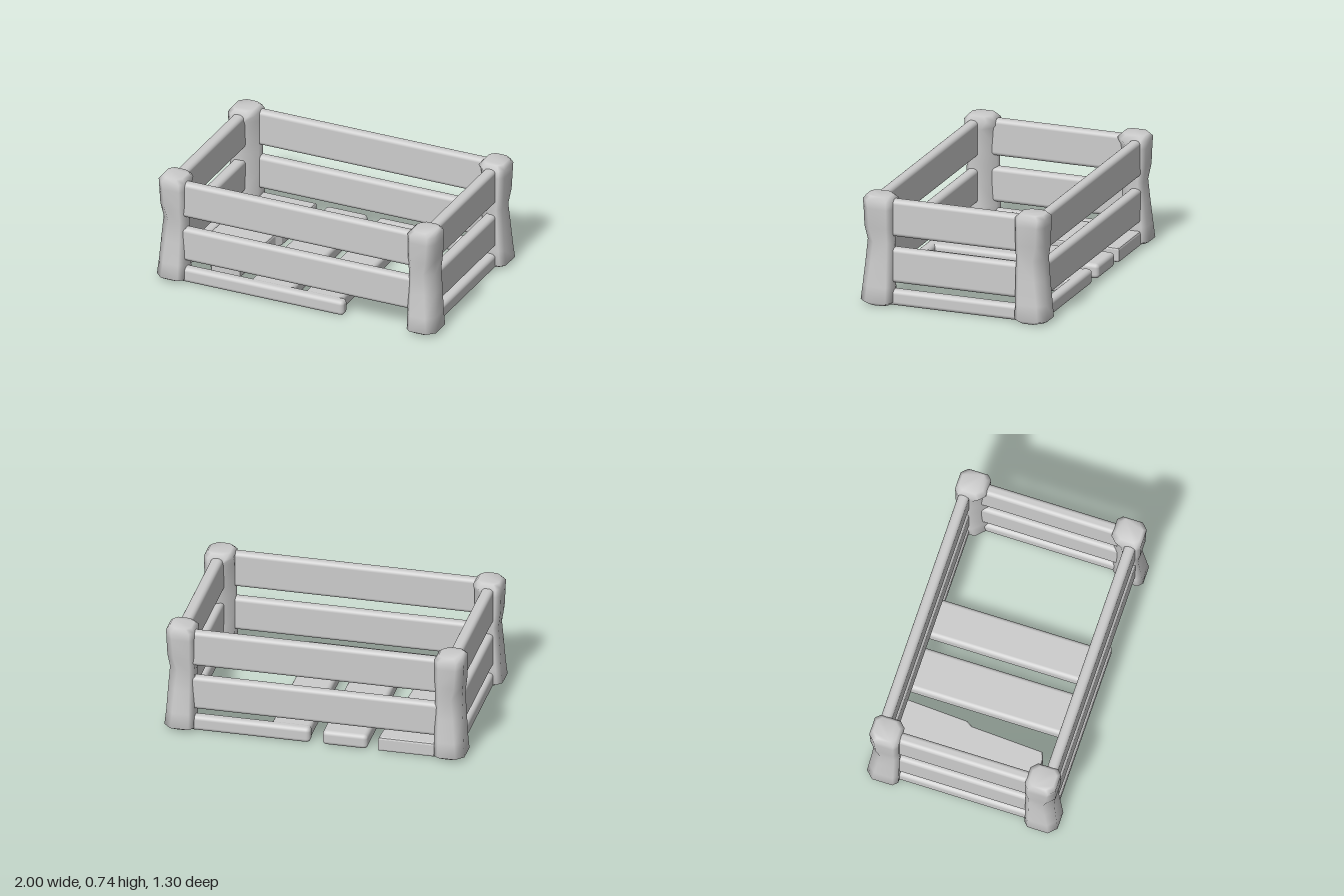
import * as THREE from 'three';
import { RoundedBoxGeometry } from 'three/addons/geometries/RoundedBoxGeometry.js';

const wood = new THREE.MeshStandardMaterial({ color: 0xcccccc });
wood.name = 'pale grey wood';

// Corner post lofted from chamfered squares, mirrored by the signs sx and sz
function postGeometry(sx, sz) {
  // y, inner x, outer x, inner z, outer z, outer chamfer, inner chamfer
  const rings = [
    [0.01, 0.83, 0.97, 0.46, 0.61, 0.05, 0.04],
    [0.035, 0.80, 1.00, 0.43, 0.65, 0.05, 0.06],
    [0.14, 0.80, 0.99, 0.43, 0.64, 0.05, 0.08],
    [0.30, 0.80, 0.982, 0.43, 0.625, 0.055, 0.09],
    [0.44, 0.80, 0.973, 0.43, 0.615, 0.06, 0.09],
    [0.54, 0.80, 0.985, 0.43, 0.63, 0.05, 0.09],
    [0.67, 0.80, 0.99, 0.43, 0.632, 0.045, 0.08],
    [0.725, 0.80, 0.99, 0.43, 0.635, 0.04, 0.04],
    [0.752, 0.825, 0.97, 0.455, 0.615, 0.04, 0.04],
  ];
  const pos = [], idx = [], n = 8;
  for (const [y, a, b, c, d, k, m] of rings) {
    const s = 0.03;
    const pts = [[b, c + s], [b, d - k], [b - k, d], [a + s, d],
      [a, d - s], [a, c + m], [a + m, c], [b - s, c]];
    for (const [x, z] of pts) pos.push(x * sx, y, z * sz);
  }
  const tri = (p, q, r) => (sx * sz > 0 ? idx.push(p, q, r) : idx.push(p, r, q));
  for (let j = 0; j < rings.length - 1; j++) {
    for (let i = 0; i < n; i++) {
      const p = j * n + i, q = j * n + (i + 1) % n;
      tri(p, p + n, q);
      tri(q, p + n, q + n);
    }
  }
  // end caps
  const top = (rings.length - 1) * n;
  for (let i = 1; i < n - 1; i++) {
    tri(0, i, i + 1);
    tri(top, top + i + 1, top + i);
  }
  const g = new THREE.BufferGeometry();
  g.setAttribute('position', new THREE.Float32BufferAttribute(pos, 3));
  g.setIndex(idx);
  g.computeVertexNormals();
  return g;
}

export function createModel() {
  const crate = new THREE.Group();
  crate.name = 'woodenCrate';

  const add = (name, geometry) => {
    const mesh = new THREE.Mesh(geometry, wood);
    mesh.name = name;
    crate.add(mesh);
    return mesh;
  };
  // Rounded board given by its extents on each axis
  const board = (name, [x0, x1], [y0, y1], [z0, z1]) => {
    const g = new RoundedBoxGeometry(x1 - x0, y1 - y0, z1 - z0, 3, 0.028);
    add(name, g).position.set((x0 + x1) / 2, (y0 + y1) / 2, (z0 + z1) / 2);
  };

  for (const sx of [-1, 1]) {
    for (const sz of [-1, 1]) add('cornerPost', postGeometry(sx, sz));
  }

  // Wall slats, two high on every side
  const heights = [[0.165, 0.40], [0.48, 0.728]];
  for (const h of heights) {
    board('frontSlat', [-0.86, 0.86], h, [0.53, 0.603]);
    board('backSlat', [-0.86, 0.86], h, [-0.603, -0.53]);
    board('leftSlat', [0.858, 0.938], h, [-0.5, 0.5]);
    board('rightSlat', [-0.945, -0.865], h, [-0.5, 0.5]);
  }

  // Bottom rails, with the front and back ones broken short
  const low = [0.01, 0.115];
  board('leftBottomRail', [0.858, 0.938], low, [-0.5, 0.5]);
  board('rightBottomRail', [-0.945, -0.865], low, [-0.5, 0.5]);
  board('brokenFrontRail', [-0.86, 0.335], low, [0.53, 0.605]);
  board('brokenBackRail', [0.03, 0.86], low, [-0.605, -0.53]);

  // Floor slats
  board('floorSlat', [-0.352, -0.052], [0.012, 0.112], [-0.608, 0.57]);
  board('floorSlat', [0.035, 0.298], [0.012, 0.112], [-0.6, 0.57]);

  // Splintered floor slat, outlined in x and z
  const outline = [[-0.87, -0.605], [-0.425, -0.605], [-0.45, -0.13], [-0.475, -0.09],
    [-0.50, 0.40], [-0.55, 0.42], [-0.65, 0.42], [-0.70, 0.41], [-0.75, 0.32],
    [-0.81, 0.325], [-0.835, 0.245], [-0.87, 0.33]];
  const shape = new THREE.Shape(outline.map(([x, z]) => new THREE.Vector2(x, z)));
  const plank = new THREE.ExtrudeGeometry(shape, {
    depth: 0.07, bevelEnabled: true, bevelThickness: 0.015,
    bevelSize: 0.012, bevelOffset: -0.012, bevelSegments: 2,
  });
  plank.rotateX(Math.PI / 2);
  add('splinteredFloorSlat', plank).position.y = 0.097;

  return crate;
}
